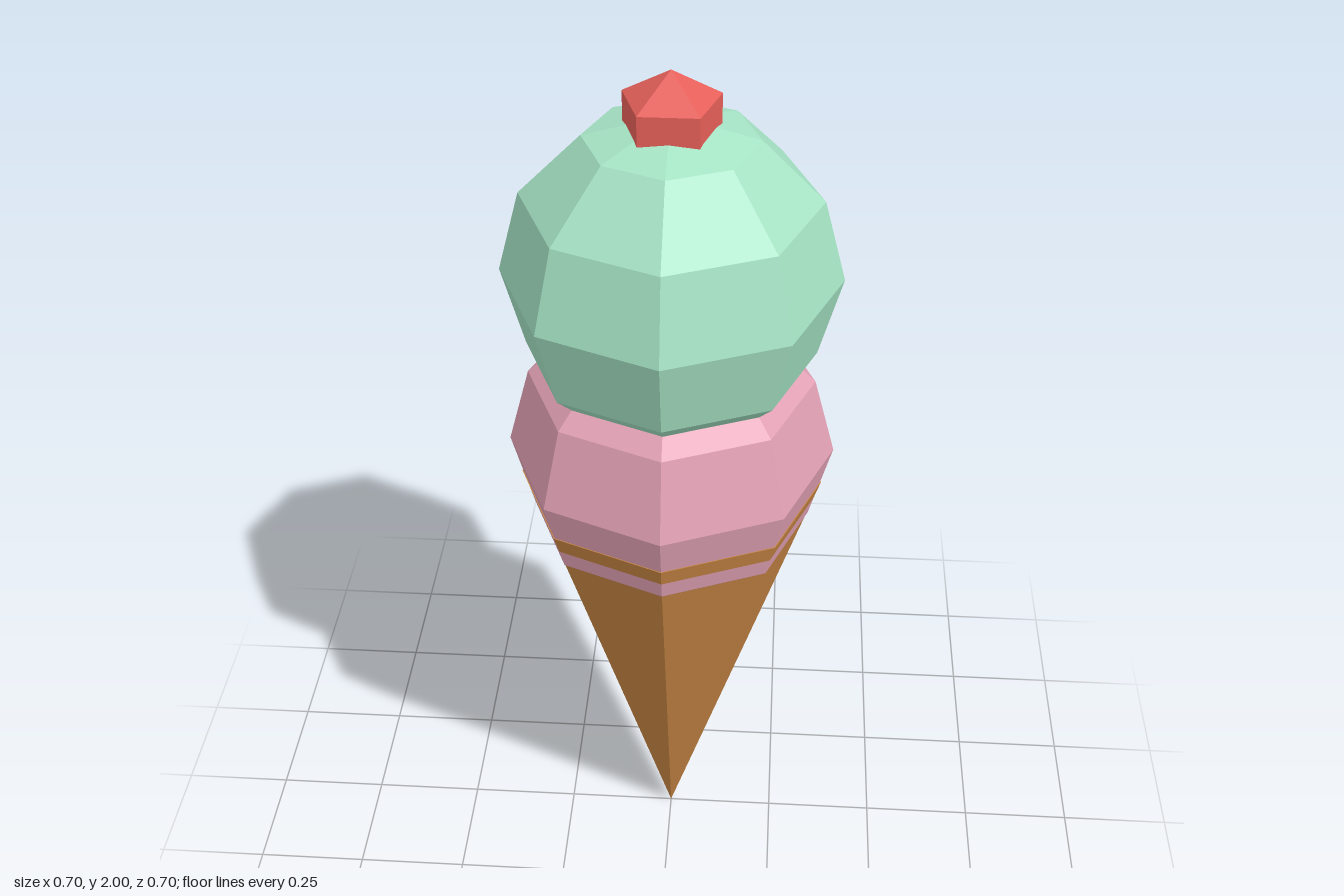
import * as THREE from 'three';

function material(name, color) {
  const m = new THREE.MeshStandardMaterial({ color, flatShading: true });
  m.name = name;
  return m;
}

export function createModel() {
  const group = new THREE.Group();
  group.name = 'iceCreamCone';

  const wafer = material('wafer', 0xc98744);
  const pink = material('strawberryPink', 0xe3a2b5);
  const mint = material('mintGreen', 0xa6e3c5);
  const red = material('cherryRed', 0xe6605a);

  const add = (name, geometry, mat, y) => {
    const mesh = new THREE.Mesh(geometry, mat);
    mesh.name = name;
    mesh.position.y = y;
    group.add(mesh);
    return mesh;
  };

  // Eight-sided wafer cone, point down
  const coneHeight = 1.04;
  add('cone', new THREE.CylinderGeometry(0.33, 0, coneHeight, 8), wafer, coneHeight / 2);

  // Two faceted scoops; the lower one pokes through the cone as a thin band
  const scoop = new THREE.SphereGeometry(0.352, 8, 6);
  add('lowerScoop', scoop, pink, 1.13);
  add('upperScoop', scoop, mint, 1.555);

  // Five-sided cherry sunk into the top scoop, one corner to the back
  const cherry = add('cherry', new THREE.SphereGeometry(0.118, 5, 3), red, 1.882);
  cherry.rotation.y = -Math.PI / 2;

  return group;
}
